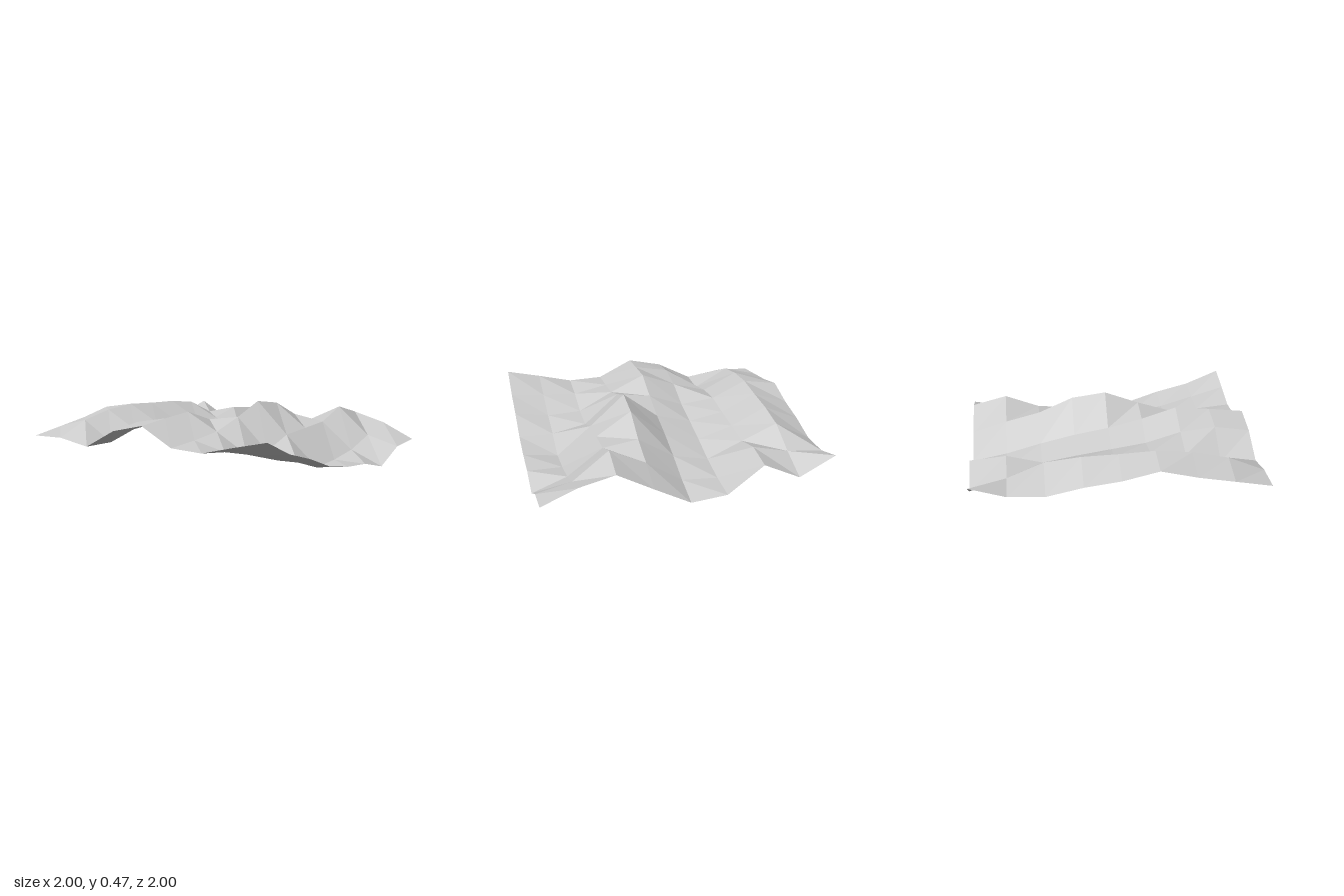
import * as THREE from 'three';

// Terrain heights on a 9 x 9 grid: rows run back to front, columns from -x to +x
const heights = [
  [0.235, 0.275, 0.315, 0.37, 0.31, 0.275, 0.22, 0.23, 0.30],
  [0.24, 0.34, 0.39, 0.41, 0.395, 0.385, 0.355, 0.25, 0.165],
  [0.20, 0.20, 0.265, 0.29, 0.27, 0.26, 0.245, 0.305, 0.28],
  [0.33, 0.365, 0.335, 0.26, 0.22, 0.18, 0.13, 0.10, 0.09],
  [0.385, 0.41, 0.43, 0.35, 0.285, 0.24, 0.18, 0.11, 0.06],
  [0.26, 0.28, 0.31, 0.385, 0.475, 0.44, 0.33, 0.265, 0.185],
  [0.25, 0.225, 0.175, 0.165, 0.25, 0.27, 0.29, 0.38, 0.315],
  [0.31, 0.235, 0.16, 0.11, 0.04, 0.06, 0.10, 0.18, 0.25],
  [0.365, 0.26, 0.195, 0.11, 0.07, 0.055, 0, 0.115, 0.14],
];

export function createModel() {
  const group = new THREE.Group();
  const stone = new THREE.MeshStandardMaterial({ color: 0xcccccc, flatShading: true, side: THREE.DoubleSide });
  stone.name = 'paleGrey';

  // Square sheet laid flat, each grid point lifted to its height
  const sheet = new THREE.PlaneGeometry(2, 2, 8, 8).rotateX(-Math.PI / 2);
  const position = sheet.attributes.position;
  heights.flat().forEach((h, i) => position.setY(i, h));

  // One flat normal per facet
  const facets = sheet.toNonIndexed();
  facets.computeVertexNormals();

  const terrain = new THREE.Mesh(facets, stone);
  terrain.name = 'terrain';
  group.add(terrain);
  return group;
}
